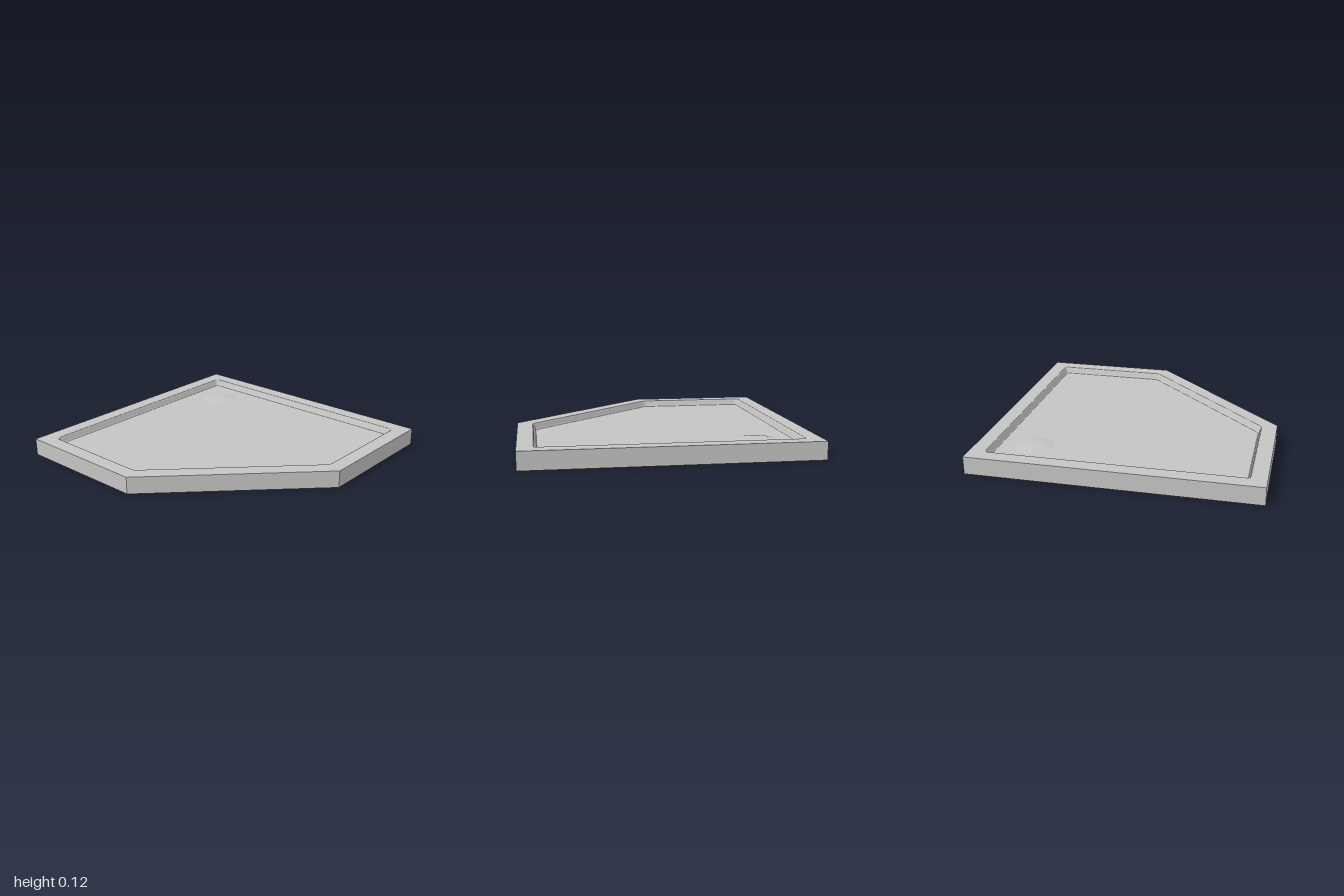
import * as THREE from 'three';

const HEIGHT = 0.125, FLOOR = 0.08;

// Five-sided plan as [x, z] points, moved inwards by d, with optional rounded corners
function plan(d, r = 0) {
  const s = 1 - d, c = 0.985 - d * Math.SQRT2 - s;
  const corners = [[-s, -s], [s, -s], [s, c], [c, s], [-s, s]].map(p => new THREE.Vector2(...p));
  if (!r) return corners;
  return corners.flatMap((p, i) => {
    const towards = q => p.clone().add(q.clone().sub(p).setLength(r));
    const a = towards(corners[(i + 4) % 5]), b = towards(corners[(i + 1) % 5]);
    return new THREE.QuadraticBezierCurve(a, p, b).getPoints(5);
  });
}

function circle(x, z, r, n = 48) {
  return Array.from({ length: n }, (_, i) => {
    const t = i / n * Math.PI * 2;
    return new THREE.Vector2(x + r * Math.cos(t), z + r * Math.sin(t));
  });
}

// Flat horizontal face, optionally with a hole
function face(points, y, up, hole) {
  const k = up ? -1 : 1;
  const map = pts => pts.map(p => new THREE.Vector2(p.x, k * p.y));
  const shape = new THREE.Shape(map(points));
  if (hole) shape.holes.push(new THREE.Path(map(hole)));
  return new THREE.ShapeGeometry(shape).rotateX(k * Math.PI / 2).translate(0, y, 0);
}

// Skin between closed rings, each { pts, y }
function loft(rings, smooth) {
  const n = rings[0].pts.length, pos = [], idx = [];
  rings.forEach(({ pts, y }) => pts.forEach(p => pos.push(p.x, y, p.y)));
  for (let j = 0; j < rings.length - 1; j++) {
    for (let i = 0; i < n; i++) {
      const a = j * n + i, b = j * n + (i + 1) % n;
      idx.push(a, a + n, b + n, a, b + n, b);
    }
  }
  let g = new THREE.BufferGeometry();
  g.setAttribute('position', new THREE.Float32BufferAttribute(pos, 3));
  g.setIndex(idx);
  if (!smooth) g = g.toNonIndexed();
  g.computeVertexNormals();
  return g;
}

export function createModel() {
  const group = new THREE.Group();
  const enamel = new THREE.MeshStandardMaterial({ color: 0xc4c4c2 });
  enamel.name = 'enamel';
  const add = (name, geometry) => {
    const mesh = new THREE.Mesh(geometry, enamel);
    mesh.name = name;
    group.add(mesh);
    return mesh;
  };

  // Outer body
  const outer = plan(0);
  add('outerWall', loft([{ pts: outer, y: 0 }, { pts: outer, y: HEIGHT }]));

  // Soft step from the rim down to the floor
  const steps = 8;
  const lip = Array.from({ length: steps + 1 }, (_, i) => {
    const t = i / steps;
    const drop = t * t * (3 - 2 * t);
    return { pts: plan(0.108 + 0.024 * t, 0.025), y: HEIGHT - (HEIGHT - FLOOR) * drop };
  });
  add('rim', face(outer, HEIGHT, true, lip[0].pts));
  add('basinLip', loft(lip, true));
  add('basinFloor', face(lip[steps].pts, FLOOR, true));

  // Low domed drain cover
  const R = 0.138, H = 0.014;
  const dome = Array.from({ length: 9 }, (_, i) => {
    const x = R * (1 - i / 8);
    return new THREE.Vector2(x, H * (1 - (x / R) ** 2));
  });
  add('drainCover', new THREE.LatheGeometry(dome, 48)).position.set(-0.625, FLOOR, -0.63);

  // Underside with a round recess
  const recess = circle(0.67, -0.68, 0.117), depth = 0.045;
  add('underside', face(outer, 0, false, recess));
  add('recessWall', loft([{ pts: recess, y: depth }, { pts: recess, y: 0 }], true));
  add('recessTop', face(recess, depth, false));

  return group;
}
